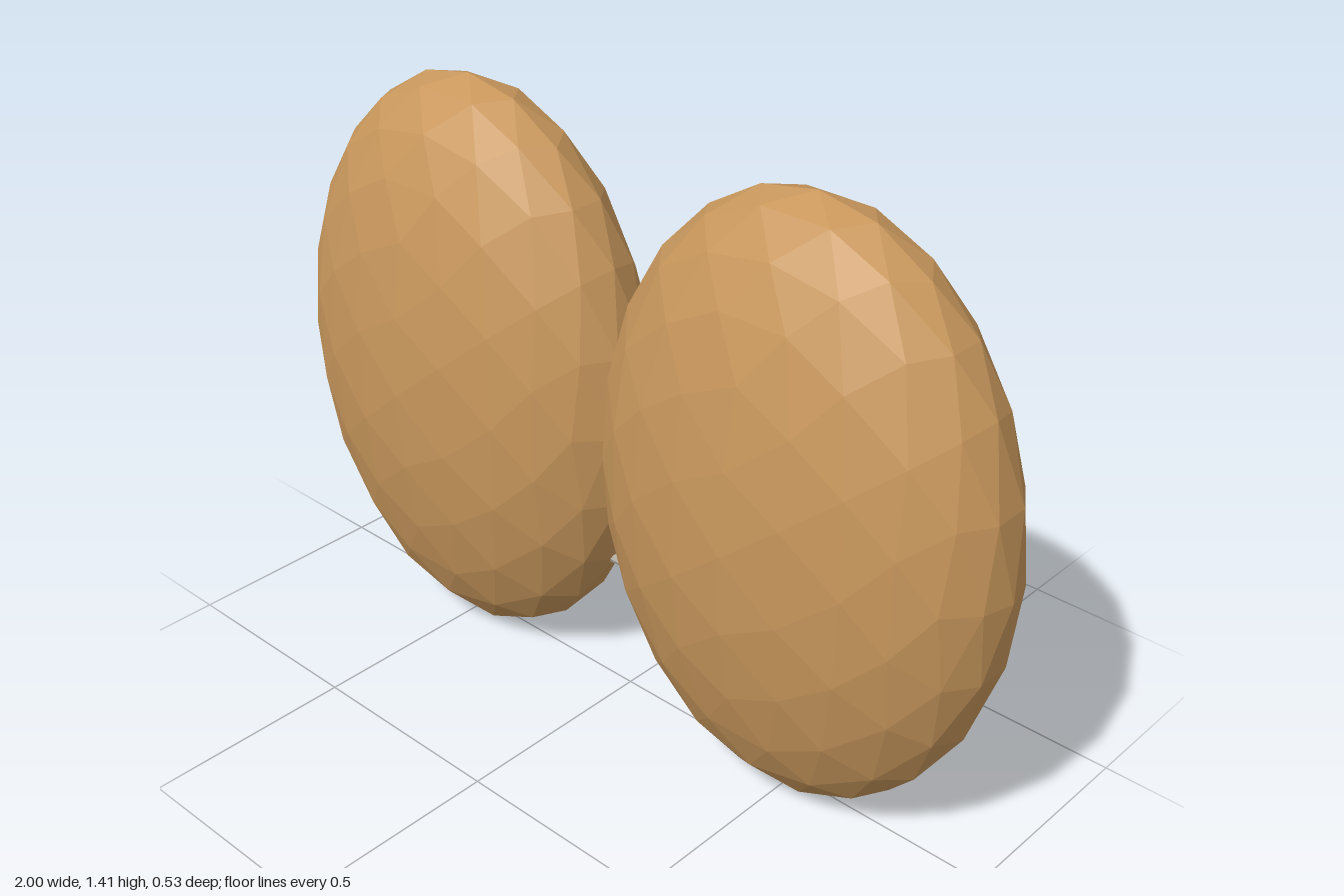
import * as THREE from 'three';

// Evenly faceted sphere: an icosahedron split twice, pushed out each time
function facetedSphere() {
  const once = new THREE.IcosahedronGeometry(1, 1).getAttribute('position');
  const corners = Array.from(once.array);
  const order = Array.from({ length: once.count }, (_, i) => i);
  return new THREE.PolyhedronGeometry(corners, order, 1, 1);
}

export function createModel() {
  const model = new THREE.Group();
  model.name = 'pairedLobes';

  const tan = new THREE.MeshStandardMaterial({ color: 0xc8975c, flatShading: true });
  tan.name = 'tan';
  const metal = new THREE.MeshStandardMaterial({ color: 0xb4b0a4, flatShading: true });
  metal.name = 'paleMetal';

  // Two flattened egg-shaped lobes, just meeting in the middle
  const lobeGeometry = facetedSphere().scale(0.515, 0.703, 0.265);
  for (const [name, side] of [['leftLobe', 1], ['rightLobe', -1]]) {
    const lobe = new THREE.Mesh(lobeGeometry, tan);
    lobe.name = name;
    lobe.position.set(side * 0.485, 0.703, 0);
    model.add(lobe);
  }

  // Cross rods: one along the back, one through the centre
  const rodGeometry = new THREE.CylinderGeometry(0.014, 0.014, 1.53, 8).rotateZ(Math.PI / 2);
  for (const [name, y, z] of [['backRod', 0.351, -0.195], ['centreRod', 0.336, 0]]) {
    const rod = new THREE.Mesh(rodGeometry, metal);
    rod.name = name;
    rod.position.set(0, y, z);
    model.add(rod);
  }
  return model;
}
